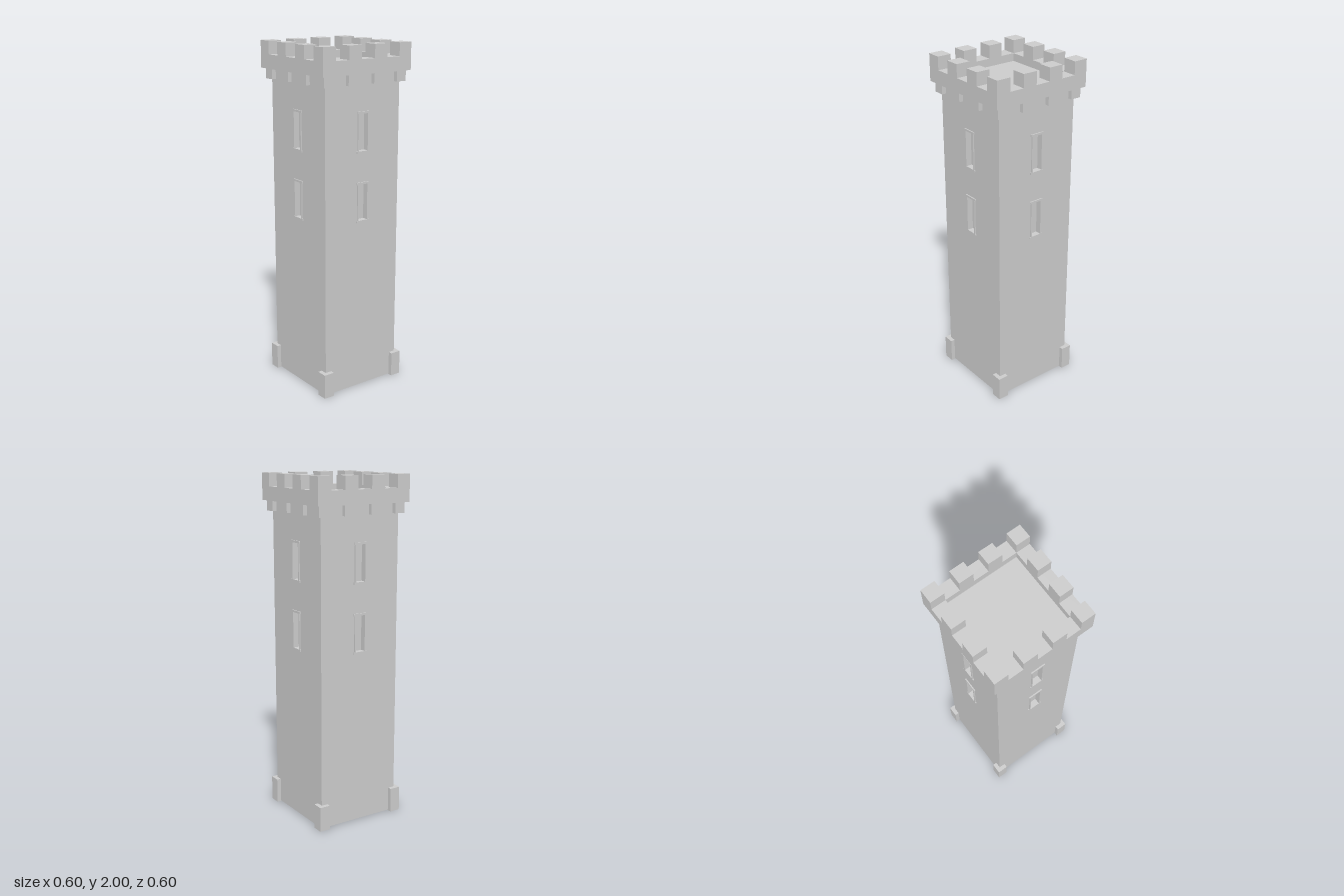
import * as THREE from 'three';

const mat = new THREE.MeshStandardMaterial({ color: 0xcccccc, flatShading: true });
const BODY = 0.256, RECESS = 0.028, BASE = 0.004, TOP = 1.845;
const WINDOWS = [1.125, 1.522];          // window centre heights
const OPEN_W = 0.03, OPEN_H = 0.104;     // half sizes of an opening

function add(parent, name, geometry, x = 0, y = 0, z = 0) {
  const mesh = new THREE.Mesh(geometry, mat);
  mesh.name = name;
  mesh.position.set(x, y, z);
  parent.add(mesh);
  return mesh;
}

// Box given by its lower and upper corners
function box(parent, name, x0, x1, y0, y1, z0, z1) {
  return add(parent, name, new THREE.BoxGeometry(x1 - x0, y1 - y0, z1 - z0),
    (x0 + x1) / 2, (y0 + y1) / 2, (z0 + z1) / 2);
}

function rect(Type, x0, x1, y0, y1) {
  return new Type([[x0, y0], [x1, y0], [x1, y1], [x0, y1]].map(p => new THREE.Vector2(...p)));
}

function extrude(shape, depth) {
  return new THREE.ExtrudeGeometry(shape, { depth, bevelEnabled: false });
}

// Raised surround with a wider lintel and sill
function windowFrame(parent, y) {
  const frame = new THREE.Group();
  frame.name = 'windowFrame';
  frame.position.set(0, y, BODY);
  parent.add(frame);
  const back = -0.004, front = 0.007;
  for (const s of [-1, 1]) {
    const jamb = s * (OPEN_W + 0.0035);
    box(frame, 'jamb', jamb - 0.0035, jamb + 0.0035, -OPEN_H, OPEN_H, back, front);
    const band = s * (OPEN_H + 0.006);
    box(frame, s > 0 ? 'lintel' : 'sill', -0.043, 0.043, band - 0.006, band + 0.006, back, front);
  }
}

export function createModel() {
  const tower = new THREE.Group();
  tower.name = 'tower';

  // Inner core forms the back of the window recesses
  const core = BODY - RECESS;
  box(tower, 'core', -core, core, BASE, TOP, -core, core);

  for (let i = 0; i < 4; i++) {
    const side = new THREE.Group();
    side.name = 'towerSide';
    side.rotation.y = i * Math.PI / 2;
    tower.add(side);

    // Wall skin with pierced windows; alternate sides fit between the others
    const half = i % 2 ? core : BODY;
    const wall = rect(THREE.Shape, -half, half, BASE, TOP);
    for (const y of WINDOWS) {
      wall.holes.push(rect(THREE.Path, -OPEN_W, OPEN_W, y - OPEN_H, y + OPEN_H));
      windowFrame(side, y);
    }
    add(side, 'wall', extrude(wall, RECESS), 0, 0, core);

    // Corner features, one set per side
    box(side, 'cornerFoot', 0.217, 0.281, 0, 0.146, 0.217, 0.281);
    box(side, 'cornerCorbel', 0.217, 0.281, 1.785, TOP, 0.217, 0.281);
    box(side, 'cornerMerlon', 0.217, 0.3, 1.925, 2, 0.217, 0.3);

    // Two middle corbels and merlons
    for (const x of [-0.087, 0.087]) {
      box(side, 'corbel', x - 0.031, x + 0.031, 1.785, TOP, 0.217, 0.281);
      box(side, 'merlon', x - 0.0425, x + 0.0425, 1.925, 2, 0.217, 0.3);
    }
  }

  // Parapet ring and roof floor
  const ring = rect(THREE.Shape, -0.3, 0.3, -0.3, 0.3);
  ring.holes.push(rect(THREE.Path, -0.217, 0.217, -0.217, 0.217));
  add(tower, 'parapet', extrude(ring, 1.925 - TOP), 0, TOP, 0).rotation.x = -Math.PI / 2;
  box(tower, 'roofFloor', -0.217, 0.217, TOP, 1.88, -0.217, 0.217);

  return tower;
}
